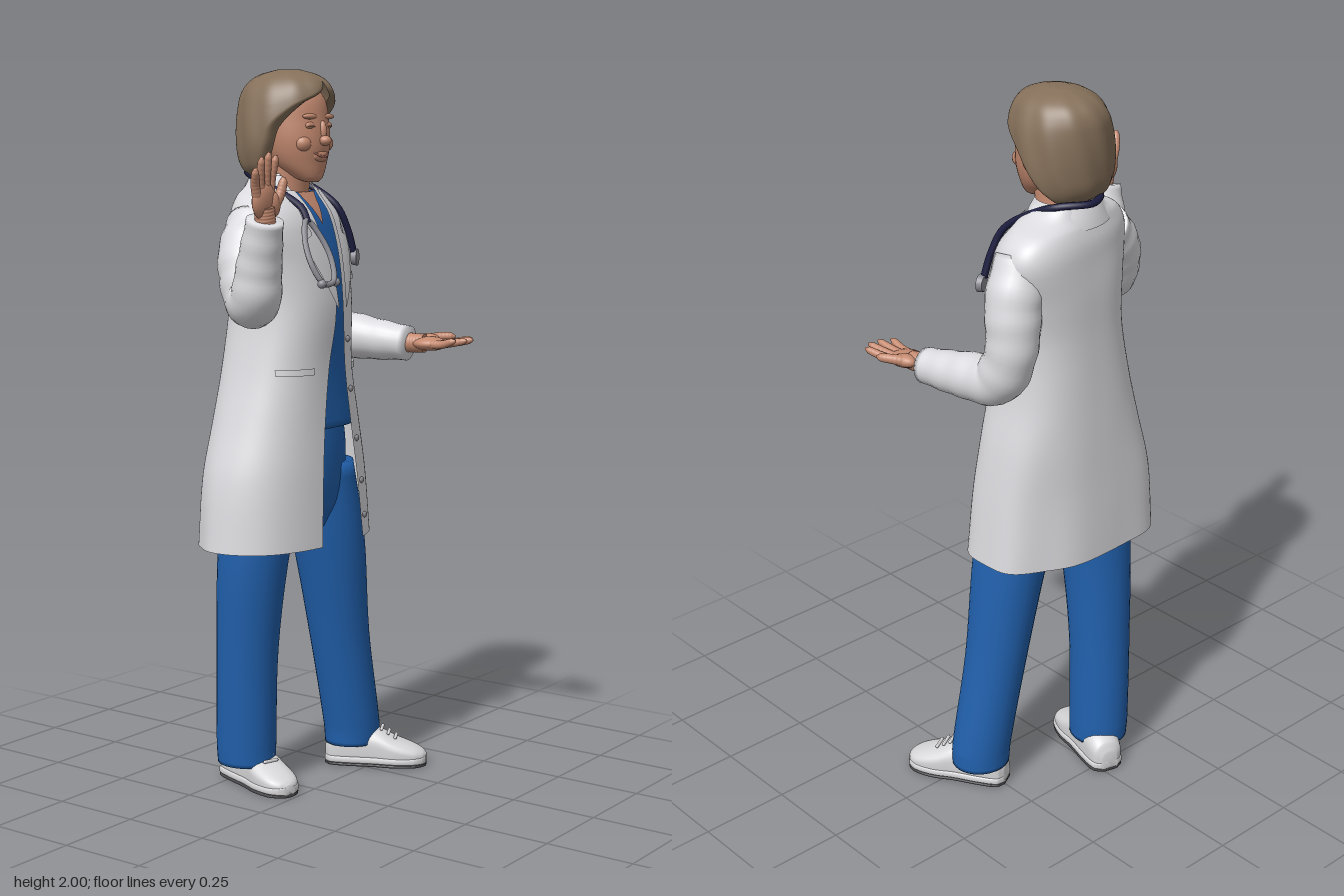
import * as THREE from 'three';

const mat = (name, color, side = THREE.FrontSide) => {
  const m = new THREE.MeshStandardMaterial({ color, side });
  m.name = name;
  return m;
};
const V = (x, y, z) => new THREE.Vector3(x, y, z);

// Smooth value of a table of rows [y, ...values] at height y
function sample(rows, y) {
  let i = 0;
  while (i < rows.length - 2 && y > rows[i + 1][0]) i++;
  const a = rows[i], b = rows[i + 1], p = rows[i - 1] || a, n = rows[i + 2] || b;
  const h = b[0] - a[0], t = (y - a[0]) / h, t2 = t * t, t3 = t2 * t;
  return a.map((v, k) => k === 0 ? y :
    v * (2 * t3 - 3 * t2 + 1) + b[k] * (3 * t2 - 2 * t3) +
    h * (t3 - 2 * t2 + t) * (b[k] - p[k]) / (b[0] - p[0]) +
    h * (t3 - t2) * (n[k] - a[k]) / (n[0] - a[0]));
}

// Skin a list of rings, each an array of points
function loft(rings, closed = true, capStart = true, capEnd = true) {
  const n = rings[0].length, pos = [], idx = [];
  rings.forEach(r => r.forEach(p => pos.push(p.x, p.y, p.z)));
  const cols = closed ? n : n - 1;
  for (let i = 0; i < rings.length - 1; i++) for (let j = 0; j < cols; j++) {
    const a = i * n + j, b = i * n + (j + 1) % n;
    idx.push(a, b, b + n, a, b + n, a + n);
  }
  const cap = (row, flip) => {
    const c = V(0, 0, 0), k = pos.length / 3, o = row * n;
    rings[row].forEach(p => c.addScaledVector(p, 1 / n));
    pos.push(c.x, c.y, c.z);
    for (let j = 0; j < cols; j++) {
      const a = o + j, b = o + (j + 1) % n;
      flip ? idx.push(k, b, a) : idx.push(k, a, b);
    }
  };
  if (capStart) cap(0, true);
  if (capEnd) cap(rings.length - 1, false);
  const g = new THREE.BufferGeometry();
  g.setAttribute('position', new THREE.Float32BufferAttribute(pos, 3));
  g.setIndex(idx);
  g.computeVertexNormals();
  return g;
}
const heights = (rows, sub = 5) => rows.slice(1).flatMap((r, i) =>
  Array.from({ length: sub }, (_, k) => rows[i][0] + (r[0] - rows[i][0]) * k / sub)).concat(rows.at(-1)[0]);
const ring = (n, f, closed = true) => Array.from({ length: n }, (_, j) => f(j / (closed ? n : n - 1)));

// Upright body part from rows [y, cx, cz, rx, rz]
const column = rows => loft(heights(rows).map(y => {
  const [, cx, cz, rx, rz] = sample(rows, y);
  return ring(36, u => V(cx + rx * Math.sin(u * 2 * Math.PI), y, cz + rz * Math.cos(u * 2 * Math.PI)));
}));

// Limb along points [x, y, z, radius]
function limb(pts) {
  const curve = new THREE.CatmullRomCurve3(pts.map(p => V(p[0], p[1], p[2])));
  const n = 40, f = curve.computeFrenetFrames(n);
  const radii = pts.map((p, i) => [i, p[3]]);
  return loft(Array.from({ length: n + 1 }, (_, i) => {
    const c = curve.getPointAt(i / n);
    const r = sample(radii, curve.getUtoTmapping(i / n) * (pts.length - 1))[1] * (1 + 0.02 * Math.sin(i * 1.3));
    return ring(24, u => c.clone().addScaledVector(f.normals[i], r * Math.cos(u * 2 * Math.PI))
      .addScaledVector(f.binormals[i], r * Math.sin(u * 2 * Math.PI)));
  }));
}

// Coat: y, cx, cz, rx, rz, opening right x, opening left x, twist
const COAT = [
  [0.71, 0, -0.1, 0.28, 0.168, -0.05, 0.145, 0.05], [0.9, 0, -0.102, 0.262, 0.164, -0.04, 0.12, 0.04],
  [1.05, 0.01, -0.105, 0.232, 0.16, -0.025, 0.1, 0], [1.2, 0.015, -0.105, 0.2, 0.157, -0.005, 0.078, -0.05],
  [1.36, 0.025, -0.1, 0.187, 0.158, 0.02, 0.057, -0.1], [1.48, 0.03, -0.108, 0.205, 0.148, 0.005, 0.07, -0.15],
  [1.57, 0.03, -0.118, 0.228, 0.13, -0.018, 0.088, -0.2], [1.62, 0.03, -0.127, 0.222, 0.115, -0.025, 0.093, -0.2],
  [1.66, 0.03, -0.137, 0.185, 0.092, -0.03, 0.095, -0.18], [1.685, 0.028, -0.14, 0.12, 0.078, -0.035, 0.09, -0.1],
  [1.715, 0.025, -0.14, 0.085, 0.072, -0.04, 0.088, -0.05]];
const E = 0.82;
const spow = (v, e) => Math.sign(v) * Math.abs(v) ** e;
function coatPoint(y, a, scale = 1, off = 0) {
  const [, cx, cz, rx, rz, , , twist] = sample(COAT, y);
  const k = scale * (1 + Math.max(0, 1.15 - y) * 0.06 * Math.sin(7 * a) * Math.sin(a / 2) ** 2);
  const dx = (rx * k + off) * spow(Math.sin(a), E);
  return V(cx + dx, y, cz + (rz * k + off) * spow(Math.cos(a), E) + dx * twist);
}
function coatAt(x, y, off = 0, scale = 1) {
  const [, cx, , rx] = sample(COAT, y);
  const s = Math.max(-1, Math.min(1, (x - cx) / (rx * scale)));
  return coatPoint(y, Math.asin(spow(s, 1 / E)), scale, off);
}
// Thin cloth panel lying on the coat, rows [y, x from, x to]
const panel = (rows, off, scale = 1) => loft(heights(rows, 4).map(y => {
  const [, a, b] = sample(rows, y);
  return ring(8, u => coatAt(a + (b - a) * u, y, off, scale), false);
}), false, false, false);

export function createModel() {
  const D = THREE.DoubleSide;
  const white = mat('coat white', 0xdcdce0, D), blue = mat('scrub blue', 0x2160ac), skin = mat('skin', 0xc48a70, D);
  const brown = mat('hair brown', 0x85705a, D), shoeWhite = mat('shoe white', 0xd8d8da), dark = mat('sole grey', 0x4a4a4e);
  const navy = mat('tube navy', 0x1c1d40), metal = mat('metal grey', 0x8c8c94), lip = mat('lip', 0xa5695a);
  const root = new THREE.Group();
  const add = (name, geo, m, parent = root) => {
    const mesh = new THREE.Mesh(geo, m);
    mesh.name = name;
    parent.add(mesh);
    return mesh;
  };
  const ball = (name, x, y, z, sx, sy, sz, m = skin, parent = root) => {
    const b = add(name, new THREE.SphereGeometry(1, 20, 14), m, parent);
    b.position.set(x, y, z);
    b.scale.set(sx, sy, sz);
    return b;
  };
  const wire = (name, pts, r, m, closed = false) =>
    add(name, new THREE.TubeGeometry(new THREE.CatmullRomCurve3(pts, closed), 60, r, 8, closed), m);

  // Coat body, open down the front
  add('coat', loft(heights(COAT).map(y => {
    const [, cx, , rx, , x0, x1] = sample(COAT, y);
    const a = x => Math.asin(spow((x - cx) / rx, 1 / E));
    const s = a(x1), e = a(x0) + 2 * Math.PI;
    return ring(80, u => coatPoint(y, s + (e - s) * u), false);
  }), false, false, false), white);
  // Lapels, collar, pockets and buttons
  add('leftLapel', panel([[1.36, 0.056, 0.062], [1.45, 0.066, 0.115], [1.545, 0.084, 0.16], [1.56, 0.086, 0.125], [1.6, 0.092, 0.145], [1.675, 0.09, 0.115]], 0.009), white);
  add('rightLapel', panel([[1.36, 0.015, 0.021], [1.45, -0.045, 0.01], [1.545, -0.095, -0.012], [1.56, -0.06, -0.015], [1.6, -0.08, -0.022], [1.675, -0.06, -0.03]], 0.009), white);
  add('collar', loft([[1.655, 0.125, 0.098], [1.69, 0.1, 0.09], [1.72, 0.083, 0.074]].map(([y, rx, rz]) =>
    ring(40, u => { const a = 0.85 + u * (2 * Math.PI - 1.7); return V(0.028 + rx * Math.sin(a), y, -0.14 + rz * Math.cos(a)); }, false)), false, false, false), white);
  for (const [y, a, b] of [[1.185, 0.11, 0.195], [1.185, -0.165, -0.07], [1.43, 0.11, 0.185]])
    add('pocketWelt', panel([[y, a, b], [y + 0.018, a, b]], 0.006), white);
  for (const y of [1.27, 1.13, 0.99, 0.87, 0.77]) {
    const p = coatAt(sample(COAT, y)[6] + 0.018, y, 0.004);
    ball('button', p.x, p.y, p.z, 0.009, 0.009, 0.005, metal);
  }
  // Sleeves
  add('rightSleeve', limb([[-0.13, 1.59, -0.105, 0.072], [-0.205, 1.5, -0.075, 0.076], [-0.25, 1.395, -0.025, 0.07],
    [-0.275, 1.4, 0.01, 0.068], [-0.29, 1.49, 0.035, 0.06], [-0.308, 1.61, 0.068, 0.048]]), white);
  add('leftSleeve', limb([[0.19, 1.595, -0.155, 0.07], [0.232, 1.5, -0.168, 0.075], [0.25, 1.36, -0.175, 0.068],
    [0.256, 1.275, -0.13, 0.07], [0.275, 1.255, -0.03, 0.062], [0.298, 1.243, 0.11, 0.048]]), white);

  // Scrub top with a skin V at the neck
  add('scrubTop', loft(Array.from({ length: 33 }, (_, i) => 1.03 + i * 0.02).map(y =>
    ring(48, u => coatPoint(y, u * 2 * Math.PI, 0.94)))), blue);
  add('neckline', panel([[1.585, 0.032, 0.036], [1.67, -0.012, 0.082]], 0.004, 0.94), skin);

  // Trousers
  add('hips', column([[0.74, 0.045, -0.11, 0.11, 0.09], [0.82, 0.04, -0.11, 0.17, 0.125], [0.95, 0.035, -0.11, 0.185, 0.137], [1.08, 0.03, -0.11, 0.17, 0.132]]), blue);
  add('leftLeg', column([[0.065, 0.278, -0.067, 0.083, 0.078], [0.12, 0.274, -0.067, 0.085, 0.08], [0.4, 0.222, -0.075, 0.087, 0.087], [0.7, 0.17, -0.08, 0.1, 0.108], [0.92, 0.125, -0.1, 0.105, 0.12]]), blue);
  add('rightLeg', column([[0.065, -0.066, -0.19, 0.08, 0.084], [0.12, -0.068, -0.19, 0.082, 0.086], [0.4, -0.08, -0.175, 0.086, 0.088], [0.7, -0.08, -0.148, 0.1, 0.103], [0.92, -0.045, -0.125, 0.11, 0.115]]), blue);

  // Shoes: rows z, half width, top height
  const SHOE = [[-0.145, 0.022, 0.06], [-0.13, 0.042, 0.09], [-0.08, 0.05, 0.11], [0, 0.052, 0.108], [0.06, 0.058, 0.08], [0.115, 0.05, 0.058], [0.14, 0.032, 0.045], [0.15, 0.012, 0.035]];
  const slab = (lo, hi, grow) => loft(heights(SHOE).map(z => {
    const [, w, h] = sample(SHOE, z), top = hi ?? h;
    return ring(28, u => {
      const a = u * 2 * Math.PI, c = Math.cos(a), s = Math.sin(a);
      return V((w + grow) * spow(c, s < 0 || hi ? 0.4 : 0.9), (lo + top) / 2 + (top - lo) / 2 * spow(s, hi || s < 0 ? 0.4 : 0.9), z);
    });
  }));
  for (const [name, x, z, yaw] of [['leftShoe', 0.303, -0.002, 0.5], ['rightShoe', -0.058, -0.155, -0.3]]) {
    const g = new THREE.Group();
    g.name = name;
    g.position.set(x, 0, z);
    g.rotation.y = yaw;
    add('upper', slab(0.012, null, 0), shoeWhite, g);
    add('midsole', slab(0.008, 0.03, 0.004), shoeWhite, g);
    add('sole', slab(0, 0.01, 0.003), dark, g);
    for (let i = 0; i < 3; i++) {
      const lace = add('lace', new THREE.CapsuleGeometry(0.005, 0.04, 4, 8), shoeWhite, g);
      lace.position.set(0, 0.107 - i * 0.012, 0.02 + i * 0.02);
      lace.rotation.z = Math.PI / 2;
    }
    root.add(g);
  }

  // Neck, head and face
  add('neck', column([[1.56, 0.028, -0.125, 0.08, 0.07], [1.65, 0.026, -0.115, 0.062, 0.06], [1.76, 0.024, -0.1, 0.06, 0.062]]), skin);
  add('head', column([[1.697, 0.025, -0.028, 0.02, 0.016], [1.71, 0.025, -0.042, 0.043, 0.04], [1.75, 0.025, -0.07, 0.075, 0.075], [1.8, 0.025, -0.082, 0.092, 0.094],
    [1.86, 0.025, -0.093, 0.097, 0.1], [1.92, 0.024, -0.1, 0.092, 0.095], [1.97, 0.02, -0.1, 0.05, 0.06]]), skin);
  ball('noseBridge', 0.025, 1.832, 0.006, 0.011, 0.03, 0.014);
  ball('noseTip', 0.025, 1.808, 0.016, 0.017, 0.014, 0.018);
  ball('chin', 0.025, 1.718, -0.018, 0.026, 0.018, 0.018);
  ball('mouth', 0.025, 1.768, -0.005, 0.034, 0.02, 0.018);
  for (const s of [-1, 1]) {
    ball('cheek', 0.025 + s * 0.048, 1.8, -0.022, 0.026, 0.024, 0.024);
    ball('brow', 0.025 + s * 0.038, 1.872, -0.006, 0.03, 0.008, 0.012);
    ball('eyelid', 0.025 + s * 0.037, 1.848, -0.005, 0.02, 0.01, 0.009);
    ball('lashLine', 0.025 + s * 0.037, 1.845, -0.001, 0.017, 0.002, 0.0065, brown);
    ball('ear', 0.025 + s * 0.097, 1.825, -0.1, 0.012, 0.03, 0.018);
  }
  wire('lips', [V(-0.008, 1.778, 0), V(0.008, 1.768, 0.01), V(0.025, 1.765, 0.013), V(0.042, 1.768, 0.01), V(0.058, 1.778, 0)], 0.003, lip);

  // Bobbed hair: y, cx, cz, rx, rz, face gap to the left and to the right
  const HAIR = [[1.715, 0.012, -0.125, 0.095, 0.075, 2.1, 1.3], [1.73, 0.012, -0.125, 0.115, 0.095, 2.0, 1.25], [1.76, 0.013, -0.12, 0.129, 0.115, 1.75, 1.2], [1.8, 0.014, -0.113, 0.137, 0.127, 1.55, 1.15],
    [1.85, 0.015, -0.108, 0.136, 0.134, 1.25, 1.05], [1.9, 0.017, -0.104, 0.128, 0.136, 0.75, 0.65], [1.935, 0.018, -0.103, 0.116, 0.131, 0.2, 0.15],
    [1.965, 0.02, -0.102, 0.096, 0.113, 0, 0], [1.985, 0.02, -0.102, 0.067, 0.08, 0, 0], [1.997, 0.02, -0.102, 0.028, 0.034, 0, 0]];
  add('hair', loft(heights(HAIR).map(y => {
    const [, cx, cz, rx, rz, gl, gr] = sample(HAIR, y);
    const s = Math.max(0, gl), e = 2 * Math.PI - Math.max(0, gr), gap = Math.min(1, Math.max(0, gl + gr));
    return ring(90, u => {
      const a = s + (e - s) * u, edge = Math.max(0, 1 - Math.min(a - s, e - a) / 0.22);
      const k = (1 - 0.2 * gap * edge * edge) * (1 + 0.013 * Math.sin(11 * a + y * 25));
      return V(cx + rx * k * Math.sin(a), y, cz + rz * k * Math.cos(a));
    }, false);
  }), false, false, true), brown);

  // Hands: fingers along +y, palm towards +z, thumb on the given side
  const hand = (name, side) => {
    const g = new THREE.Group();
    g.name = name;
    const tube = (n, pts) => add(n, limb(pts.map(([x, y, z, r]) => [side * x, y, z, r])), skin, g);
    tube('wrist', [[0, -0.03, 0, 0.028], [0, 0.01, 0, 0.027], [0, 0.04, 0, 0.026]]);
    ball('palm', 0, 0.055, 0, 0.044, 0.05, 0.02, skin, g);
    ball('thumbBase', side * 0.026, 0.04, 0.008, 0.022, 0.034, 0.018, skin, g);
    [[0.031, 0.165], [0.011, 0.178], [-0.011, 0.172], [-0.031, 0.15]].forEach(([x, tip]) =>
      tube('finger', [[x * 0.85, 0.065, 0, 0.0125], [x * 1.1, 0.105, 0.002, 0.0115], [x * 1.35, tip - 0.012, 0.012, 0.0095], [x * 1.4, tip, 0.015, 0.004]]));
    tube('thumb', [[0.025, 0.03, 0.006, 0.016], [0.05, 0.062, 0.014, 0.0135], [0.064, 0.092, 0.016, 0.011], [0.067, 0.104, 0.016, 0.004]]);
    root.add(g);
    return g;
  };
  const right = hand('rightHand', 1);
  right.position.set(-0.312, 1.605, 0.072);
  right.rotation.set(0.08, 0, 0.2);
  const left = hand('leftHand', -1);
  left.position.set(0.3, 1.245, 0.118);
  left.quaternion.setFromRotationMatrix(new THREE.Matrix4().makeBasis(V(-0.985, 0, 0.17), V(0.17, 0, 0.985), V(0, 1, 0)));

  // Stethoscope
  const on = (x, y, off = 0.018) => coatAt(x, y, off);
  wire('stethoscopeTube', [on(0.18, 1.5), on(0.165, 1.56), on(0.14, 1.63), V(0.122, 1.69, -0.12), V(0.1, 1.718, -0.19), V(0.028, 1.722, -0.236),
    V(-0.045, 1.718, -0.19), V(-0.068, 1.69, -0.11), on(-0.065, 1.63), on(-0.07, 1.59)], 0.0095, navy);
  const disc = add('chestPiece', new THREE.CylinderGeometry(0.024, 0.021, 0.016, 24), metal);
  disc.position.copy(on(0.185, 1.485, 0.02));
  disc.rotation.set(Math.PI / 2, 0, -0.4);
  wire('headset', [on(-0.07, 1.6), V(-0.112, 1.55, 0.05), V(-0.125, 1.48, 0.085), V(-0.105, 1.435, 0.108), V(-0.065, 1.44, 0.11),
    V(-0.045, 1.49, 0.09), V(-0.05, 1.55, 0.06)], 0.008, metal, true);
  ball('earTip', -0.115, 1.435, 0.108, 0.012, 0.012, 0.012, metal);
  ball('earTip', -0.055, 1.437, 0.11, 0.012, 0.012, 0.012, metal);
  return root;
}
